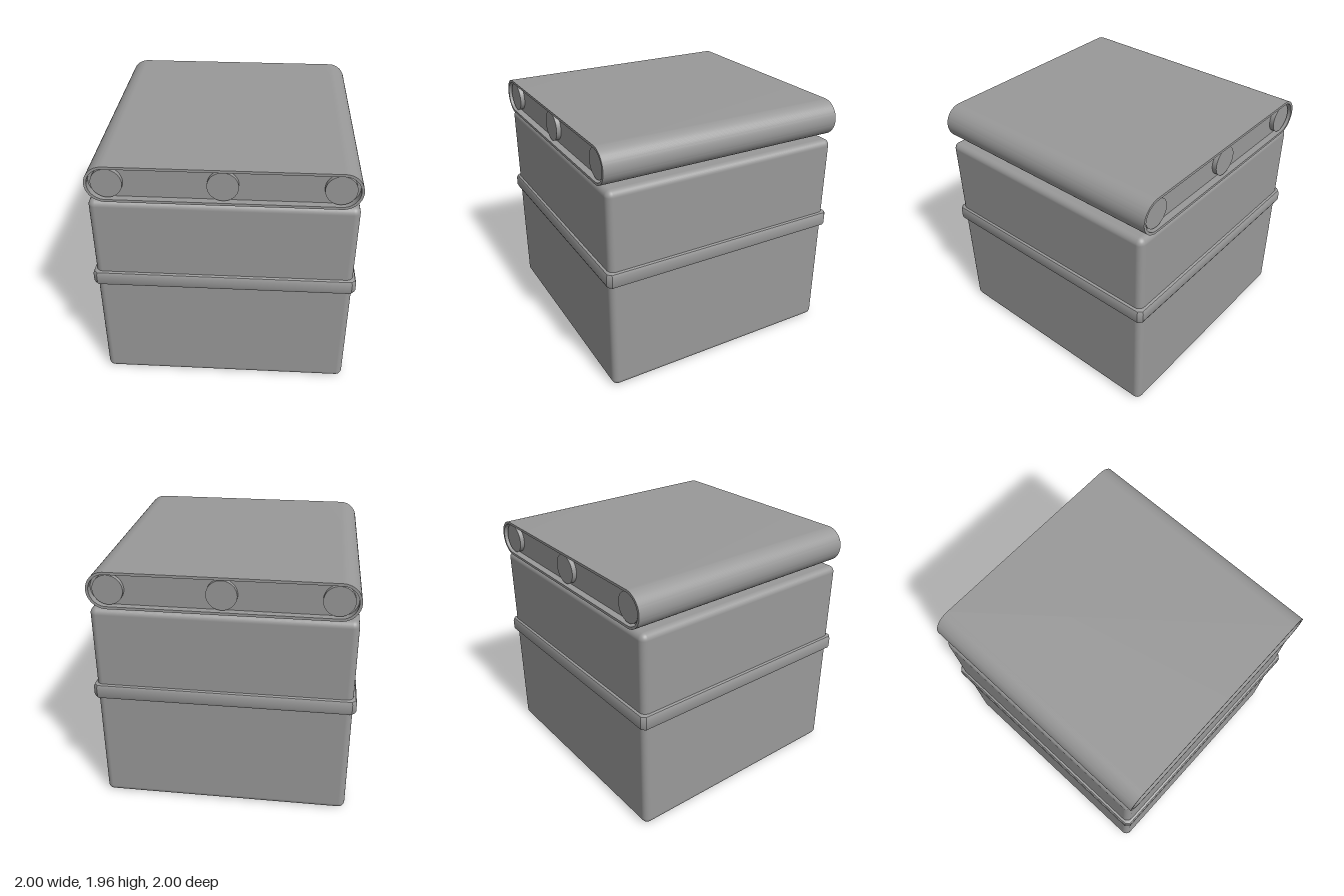
import * as THREE from 'three';
import { RoundedBoxGeometry } from 'three/addons/geometries/RoundedBoxGeometry.js';
import { toCreasedNormals } from 'three/addons/utils/BufferGeometryUtils.js';

const BELT_Y = 1.817, HALF = 0.833; // belt centre height, half distance between end arcs

// Pill outline: two half circles joined by straight runs
function pill(target, r) {
  target.absarc(HALF, 0, r, -Math.PI / 2, Math.PI / 2, false);
  target.absarc(-HALF, 0, r, Math.PI / 2, Math.PI * 1.5, false);
  target.closePath();
  return target;
}

function extrudeCentred(shape, depth) {
  const geo = new THREE.ExtrudeGeometry(shape, { depth, bevelEnabled: false, curveSegments: 24 });
  geo.translate(0, BELT_Y, -depth / 2);
  return toCreasedNormals(geo, 0.6);
}

// Square slab with clipped corners and bevelled rims
function bandGeometry() {
  const h = 0.972, c = h - 0.015;
  const outline = [[h, -c], [h, c], [c, h], [-c, h], [-h, c], [-h, -c], [-c, -h], [c, -h]];
  const shape = new THREE.Shape(outline.map(([x, y]) => new THREE.Vector2(x, y)));
  const geo = new THREE.ExtrudeGeometry(shape, {
    depth: 0.07, bevelSize: 0.028, bevelThickness: 0.028, bevelSegments: 2,
  });
  geo.translate(0, 0, -0.035).rotateX(-Math.PI / 2);
  return toCreasedNormals(geo, 0.6);
}

export function createModel() {
  const group = new THREE.Group();
  const grey = new THREE.MeshStandardMaterial({ color: 0x999999 });
  const add = (name, geo, x = 0, y = 0, z = 0) => {
    const mesh = new THREE.Mesh(geo, grey);
    mesh.name = name;
    mesh.position.set(x, y, z);
    group.add(mesh);
  };

  // Base block and the trim band around it
  add('base', new RoundedBoxGeometry(1.95, 1.663, 1.95, 4, 0.05), 0, 0.8315, 0);
  add('trimBand', bandGeometry(), 0, 0.97, 0);

  // Belt loop, open at both ends
  const loop = pill(new THREE.Shape(), 0.142);
  loop.holes.push(pill(new THREE.Path(), 0.122));
  add('belt', extrudeCentred(loop, 1.988));

  // Recessed core inside the belt
  add('beltCore', extrudeCentred(pill(new THREE.Shape(), 0.122), 1.88));

  // Rollers standing out of the core at both ends
  for (const x of [-0.82, 0, 0.82]) {
    const roller = new THREE.CylinderGeometry(0.113, 0.113, 1.95, 40).rotateX(Math.PI / 2);
    add('roller', roller, x, BELT_Y, 0);
  }
  return group;
}
